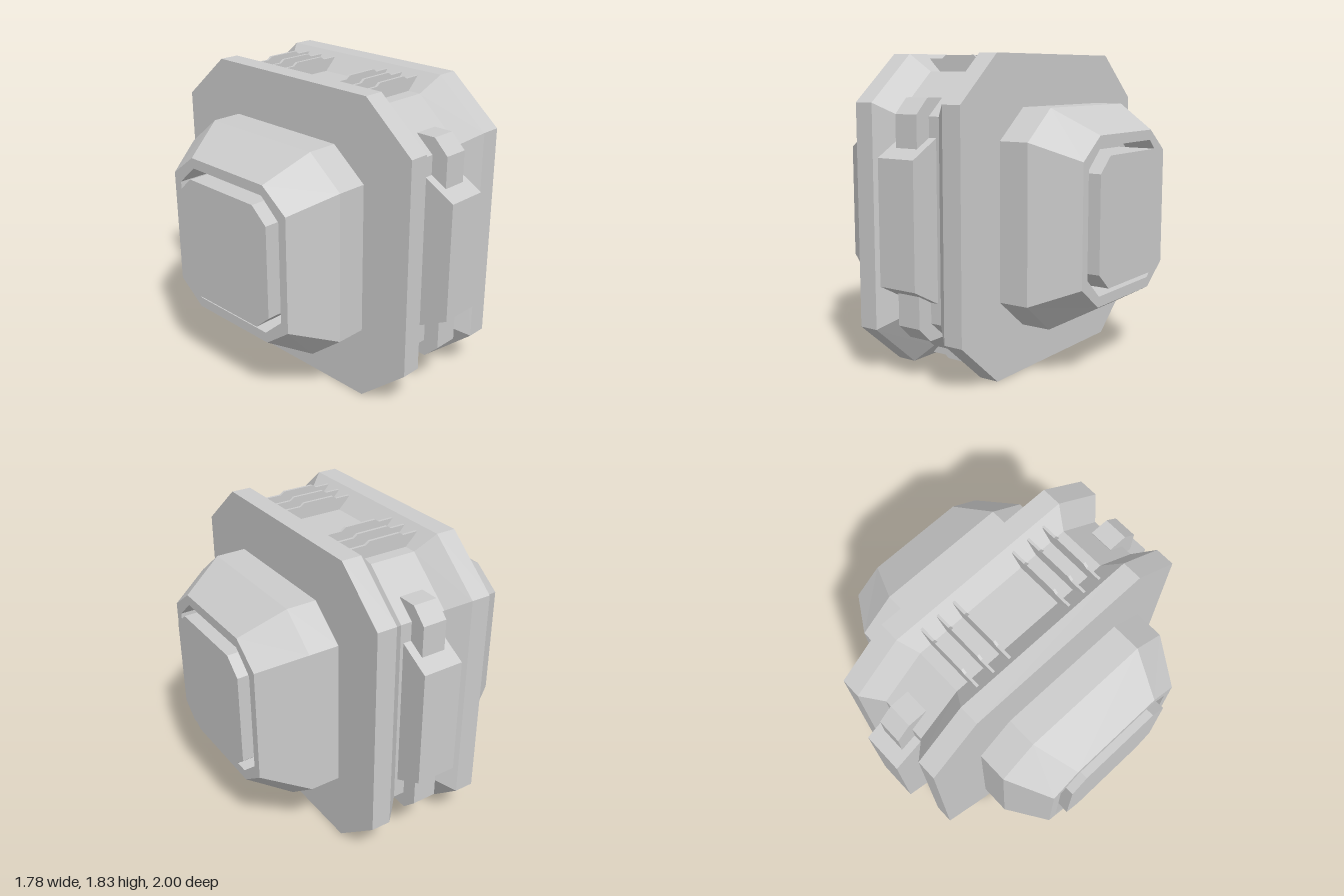
import * as THREE from 'three';

const material = new THREE.MeshStandardMaterial({ color: 0xcccccc, flatShading: true });
const CENTER_Y = 0.915;

// Chamfered rectangle: half depth, half height, half flat lengths
function octagon(x, hz, hy, fz, fy) {
  return [[hy, -fz], [hy, fz], [fy, hz], [-fy, hz], [-hy, fz], [-hy, -fz], [-fy, -hz], [fy, -hz]]
    .map(([y, z]) => new THREE.Vector3(x, y, z));
}

// Skin through cross-sections along x, capped at both ends
function loft(rings) {
  const points = [];
  const n = rings[0].length;
  for (let r = 0; r < rings.length - 1; r++) {
    const a = rings[r], b = rings[r + 1];
    for (let i = 0; i < n; i++) {
      const j = (i + 1) % n;
      points.push(a[i], a[j], b[j], a[i], b[j], b[i]);
    }
  }
  const first = rings[0], last = rings[rings.length - 1];
  for (let i = 1; i < n - 1; i++) {
    points.push(last[0], last[i], last[i + 1], first[0], first[i + 1], first[i]);
  }
  const geometry = new THREE.BufferGeometry().setFromPoints(points);
  geometry.computeVertexNormals();
  return geometry;
}

function extrude(profile, depth) {
  const shape = new THREE.Shape(profile.map(([x, y]) => new THREE.Vector2(x, y)));
  return new THREE.ExtrudeGeometry(shape, { depth, bevelEnabled: false }).translate(0, 0, -depth / 2);
}

// Profile given in (z, y), extruded across x
const extrudeSide = (profile, width) => extrude(profile, width).rotateY(-Math.PI / 2);

function add(parent, name, geometry) {
  const mesh = new THREE.Mesh(geometry, material);
  mesh.name = name;
  parent.add(mesh);
  return mesh;
}

export function createModel() {
  const model = new THREE.Group();
  model.name = 'octagonalDevice';
  const device = new THREE.Group();
  device.name = 'device';
  device.position.y = CENTER_Y;
  model.add(device);

  // Body: two broad rims with a sloped groove between them
  const rim = [0.91, 0.915, 0.59, 0.645];
  const core = [0.81, 0.815, 0.53, 0.575];
  add(device, 'rimmedBody', loft([
    octagon(-0.37, ...rim), octagon(-0.25, ...rim), octagon(-0.145, ...core),
    octagon(0.145, ...core), octagon(0.25, ...rim), octagon(0.37, ...rim),
  ]));

  // Side housings with a recessed pad, joined to the body by split necks
  const wide = [0.62, 0.62, 0.4, 0.445];
  const narrow = [0.475, 0.475, 0.3, 0.345];
  const opening = [0.42, 0.415, 0.29, 0.3];
  const pad = [0.37, 0.367, 0.265, 0.275];
  const housingGeometry = loft([
    octagon(0.41, ...wide), octagon(0.59, ...wide), octagon(0.845, ...narrow),
    octagon(0.845, ...opening), octagon(0.65, ...opening),
  ]);
  const padGeometry = loft([octagon(0.64, ...pad), octagon(0.89, ...pad)]);
  const neckGeometry = extrudeSide([
    [0.05, -0.225], [0.11, -0.425], [0.25, -0.425], [0.51, -0.225],
    [0.51, 0.225], [0.25, 0.425], [0.11, 0.425], [0.05, 0.225],
  ], 0.06).translate(0.39, 0, 0);

  for (const side of ['left', 'right']) {
    const ear = new THREE.Group();
    ear.name = side + 'Ear';
    if (side === 'right') ear.rotation.y = Math.PI;
    add(ear, 'housing', housingGeometry);
    add(ear, 'pad', padGeometry);
    add(ear, 'neckBlock', neckGeometry);
    add(ear, 'neckBlock', neckGeometry).rotation.x = Math.PI;
    device.add(ear);
  }

  // Raised plates on the front and back
  const plateGeometry = extrudeSide([[0.78, -0.455], [0.81, -0.455], [1, -0.355],
    [1, 0.355], [0.81, 0.46], [0.78, 0.46]], 0.25);
  add(device, 'frontPlate', plateGeometry);
  add(device, 'backPlate', plateGeometry).rotation.y = Math.PI;

  // Chamfered latches above and below each plate
  const latchGeometry = extrudeSide([[0.7, 0.41], [0.91, 0.4], [0.91, 0.588],
    [0.82, 0.675], [0.7, 0.675]], 0.15);
  const turns = { frontUpper: [0, 0], frontLower: [0, Math.PI],
    backUpper: [Math.PI, 0], backLower: [Math.PI, Math.PI] };
  for (const [place, [ry, rz]] of Object.entries(turns)) {
    add(device, place + 'Latch', latchGeometry).rotation.set(0, ry, rz);
  }

  // Thin stepped ribs across the groove, top and bottom
  const ribGeometry = extrude([[-0.14, 0.8], [0.14, 0.8], [0.22, 0.89], [0.125, 0.89],
    [0.1, 0.908], [-0.1, 0.908], [-0.125, 0.89], [-0.22, 0.89]], 0.016);
  for (const z of [-0.447, -0.335, -0.221, 0.211, 0.325, 0.439]) {
    for (const [name, turn] of [['topRib', 0], ['bottomRib', Math.PI]]) {
      const rib = add(device, name, ribGeometry);
      rib.position.z = z;
      rib.rotation.z = turn;
    }
  }
  return model;
}
